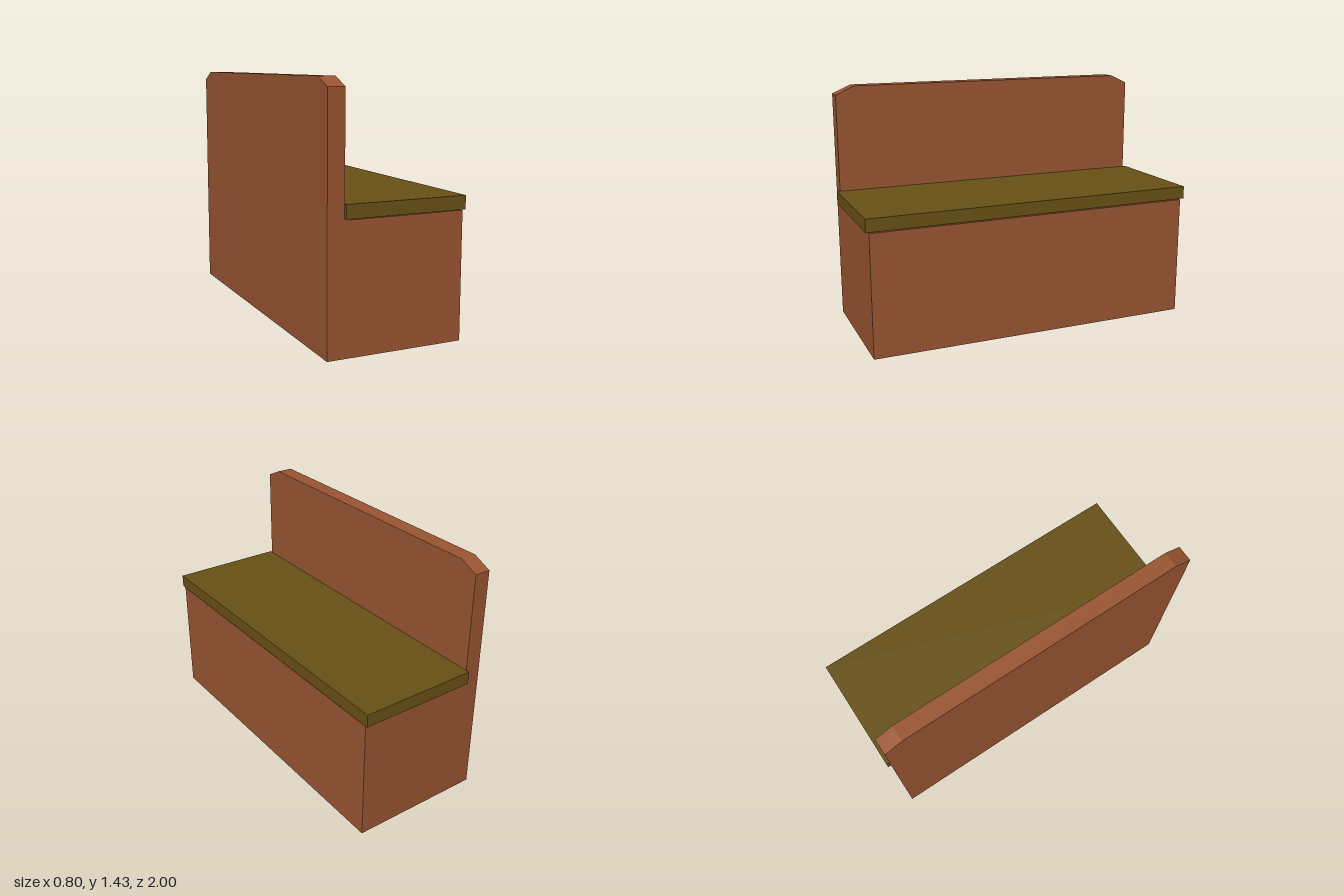
import * as THREE from 'three';

const HALF = 0.98;      // half length of the body
const BEVEL_Z = 0.87;   // where the sloped top corners begin
const TOP = 1.43, CORNER = 1.38;

export function createModel() {
  const bench = new THREE.Group();
  bench.name = 'bench';

  // Body: L-shaped side profile (base and backrest) swept along the length
  const profile = new THREE.Shape([
    [-0.4, 0], [0.395, 0], [0.395, 0.72], [-0.27, 0.72],
    [-0.303, 0.728], [-0.303, TOP], [-0.4, TOP],
  ].map(([x, y]) => new THREE.Vector2(x, y)));
  const bodyGeometry = new THREE.ExtrudeGeometry(profile, {
    depth: 2 * HALF, steps: 3, bevelEnabled: false,
  });
  bodyGeometry.translate(0, 0, -HALF);

  // Slope the top corners: lower the end rings, push the inner rings outward
  const p = bodyGeometry.attributes.position;
  for (let i = 0; i < p.count; i++) {
    const z = p.getZ(i);
    if (Math.abs(z) < HALF - 0.01) p.setZ(i, Math.sign(z) * BEVEL_Z);
    else if (p.getY(i) > CORNER) p.setY(i, CORNER);
  }
  bodyGeometry.computeVertexNormals();
  const body = new THREE.Mesh(bodyGeometry,
    new THREE.MeshStandardMaterial({ color: 0x985431, flatShading: true }));
  body.name = 'baseAndBackrest';

  // Seat board, floating just above the base
  const seat = new THREE.Mesh(new THREE.BoxGeometry(0.705, 0.076, 2),
    new THREE.MeshStandardMaterial({ color: 0x675016, flatShading: true }));
  seat.position.set(0.0475, 0.765, 0);
  seat.name = 'seat';

  bench.add(body, seat);
  return bench;
}
